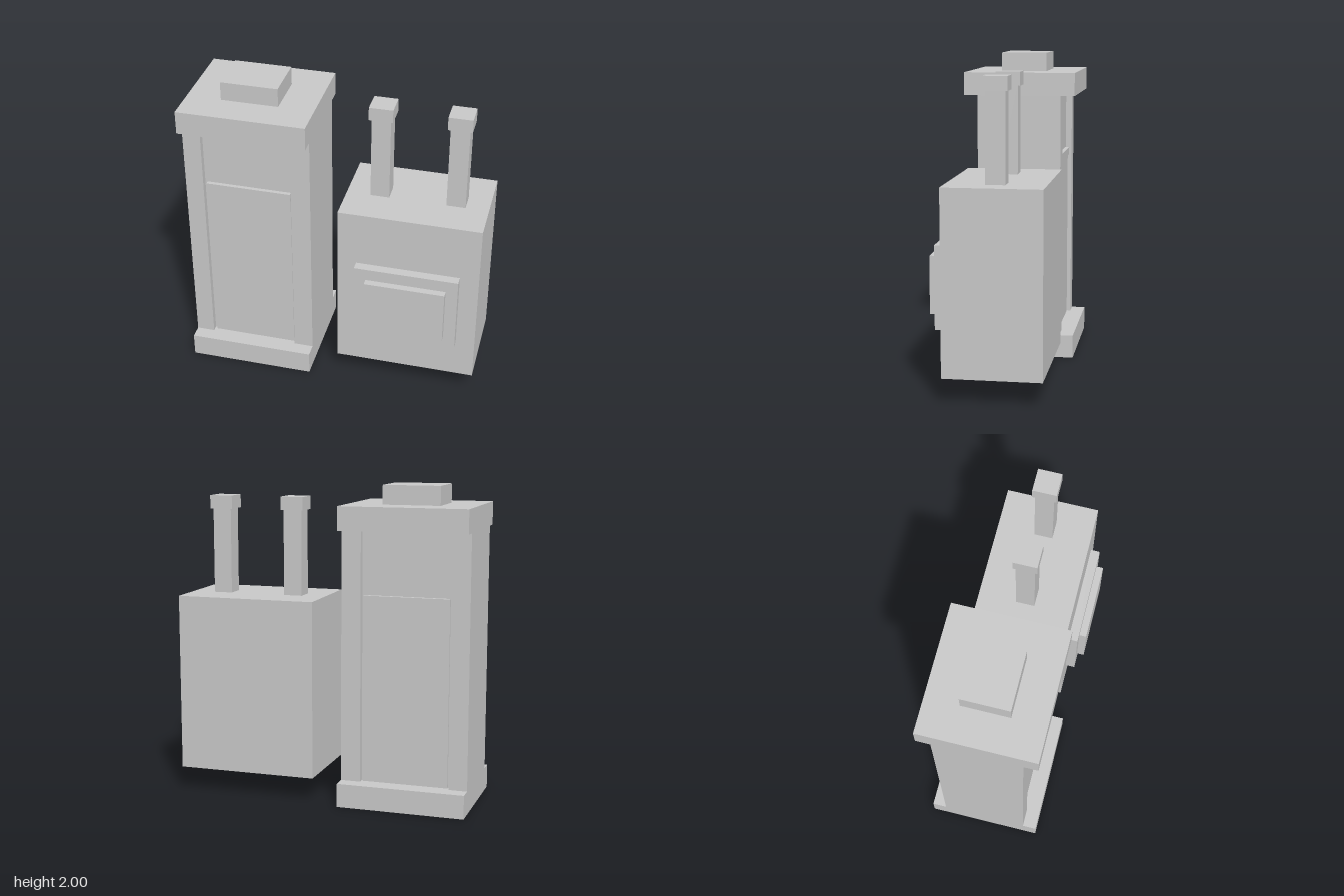
import * as THREE from 'three';

export function createModel() {
  const model = new THREE.Group();
  const grey = new THREE.MeshStandardMaterial({ color: 0xc7c7c7 });
  grey.name = 'lightGrey';

  // Axis-aligned box given by its limits on each axis
  function box(parent, name, [x0, x1], [y0, y1], [z0, z1]) {
    const mesh = new THREE.Mesh(new THREE.BoxGeometry(x1 - x0, y1 - y0, z1 - z0), grey);
    mesh.position.set((x0 + x1) / 2, (y0 + y1) / 2, (z0 + z1) / 2);
    mesh.name = name;
    parent.add(mesh);
  }

  // Tall booth
  const booth = new THREE.Group();
  booth.name = 'booth';
  model.add(booth);
  const width = [-0.945, -0.136], depth = [-0.383, 0.338];
  box(booth, 'base', width, [0, 0.15], depth);
  box(booth, 'roof', width, [1.732, 1.88], depth);
  box(booth, 'roofCap', [-0.725, -0.362], [1.88, 2], [-0.173, 0.125]);

  // Side walls stand proud of the recessed core, front and back
  const wall = [-0.293, 0.25];
  box(booth, 'rightWall', [-0.945, -0.83], [0.15, 1.732], wall);
  box(booth, 'leftWall', [-0.26, -0.136], [0.15, 1.732], wall);
  box(booth, 'core', [-0.83, -0.26], [0.15, 1.732], [-0.253, 0.21]);

  // Doors on both faces, each with a rail along the top
  box(booth, 'doors', [-0.815, -0.27], [0.15, 1.28], [-0.268, 0.225]);
  box(booth, 'doorRails', [-0.815, -0.27], [1.28, 1.33], [-0.278, 0.235]);

  // Raised cabinet with a stepped screen
  const cabinet = new THREE.Group();
  cabinet.name = 'cabinet';
  model.add(cabinet);
  box(cabinet, 'cabinetBody', [0.045, 0.945], [0.15, 1.28], [-0.323, 0.278]);
  box(cabinet, 'screenFrame', [0.165, 0.825], [0.41, 0.92], [0.278, 0.338]);
  box(cabinet, 'screen', [0.24, 0.75], [0.487, 0.842], [0.338, 0.383]);

  // Two capped posts on top
  for (const x of [0.257, 0.739]) {
    box(cabinet, 'post', [x - 0.06, x + 0.06], [1.28, 1.825], [-0.082, 0.037]);
    box(cabinet, 'postCap', [x - 0.075, x + 0.075], [1.825, 1.91], [-0.098, 0.053]);
  }
  return model;
}
